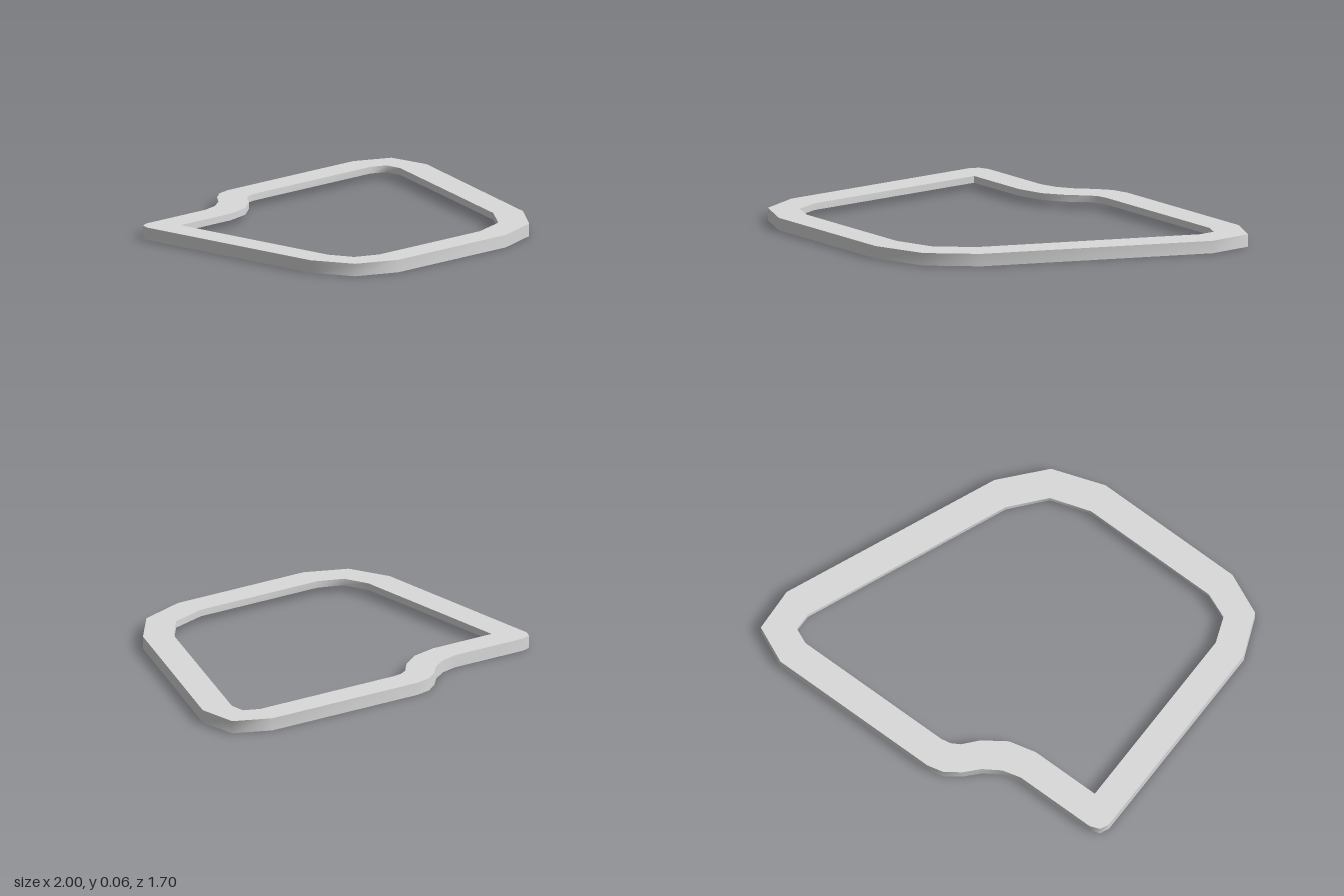
import * as THREE from 'three';
import { toCreasedNormals } from 'three/addons/utils/BufferGeometryUtils.js';

const HEIGHT = 0.063;
const LIP = 0.034;

// Plan outlines as [x, z] corners; the opening runs the opposite way round
const OUTER = [
  [-0.93, -0.625], [-0.505, -0.625], [-0.41, -0.65], [-0.325, -0.705], [-0.26, -0.775],
  [-0.185, -0.83], [-0.1, -0.85], [0.805, -0.85], [0.99, -0.765], [1, -0.54],
  [0.535, 0.543], [0.347, 0.758], [0.08, 0.85], [-0.7, 0.85], [-0.91, 0.758],
  [-1, 0.543], [-1, -0.56], [-0.98, -0.605],
];
const INNER = [
  [-0.848, 0.517], [-0.798, 0.647], [-0.67, 0.698], [0.055, 0.698], [0.26, 0.632],
  [0.405, 0.462], [0.845, -0.573], [0.845, -0.663], [0.765, -0.698], [-0.07, -0.698],
  [-0.12, -0.689], [-0.165, -0.663], [-0.23, -0.588], [-0.345, -0.508],
  [-0.485, -0.474], [-0.848, -0.474],
];

// Shape y becomes -z once the shape is laid flat
const toPlan = (points) => points.map(([x, z]) => new THREE.Vector2(x, -z));

// Thin upright wall hanging from the top along a closed outline
function wall(outline, depth) {
  const low = HEIGHT - depth;
  const positions = [];
  outline.forEach(([ax, az], i) => {
    const [bx, bz] = outline[(i + 1) % outline.length];
    positions.push(ax, HEIGHT, az, bx, HEIGHT, bz, bx, low, bz);
    positions.push(ax, HEIGHT, az, bx, low, bz, ax, low, az);
  });
  const geometry = new THREE.BufferGeometry();
  geometry.setAttribute('position', new THREE.Float32BufferAttribute(positions, 3));
  return toCreasedNormals(geometry, 1.2);
}

export function createModel() {
  const model = new THREE.Group();
  model.name = 'channelFrame';

  const lightGrey = new THREE.MeshStandardMaterial({ color: 0xdadada, side: THREE.DoubleSide });
  lightGrey.name = 'lightGrey';

  const add = (name, geometry) => {
    const mesh = new THREE.Mesh(geometry, lightGrey);
    mesh.name = name;
    model.add(mesh);
  };

  // Flat top band with an opening through the middle
  const shape = new THREE.Shape(toPlan(OUTER));
  shape.holes.push(new THREE.Path(toPlan(INNER)));
  add('topBand', new THREE.ShapeGeometry(shape).rotateX(-Math.PI / 2).translate(0, HEIGHT, 0));

  // Full-height skirt outside, shorter lip inside; the channel is open below
  add('outerSkirt', wall(OUTER, HEIGHT));
  add('innerLip', wall(INNER, LIP));

  return model;
}
